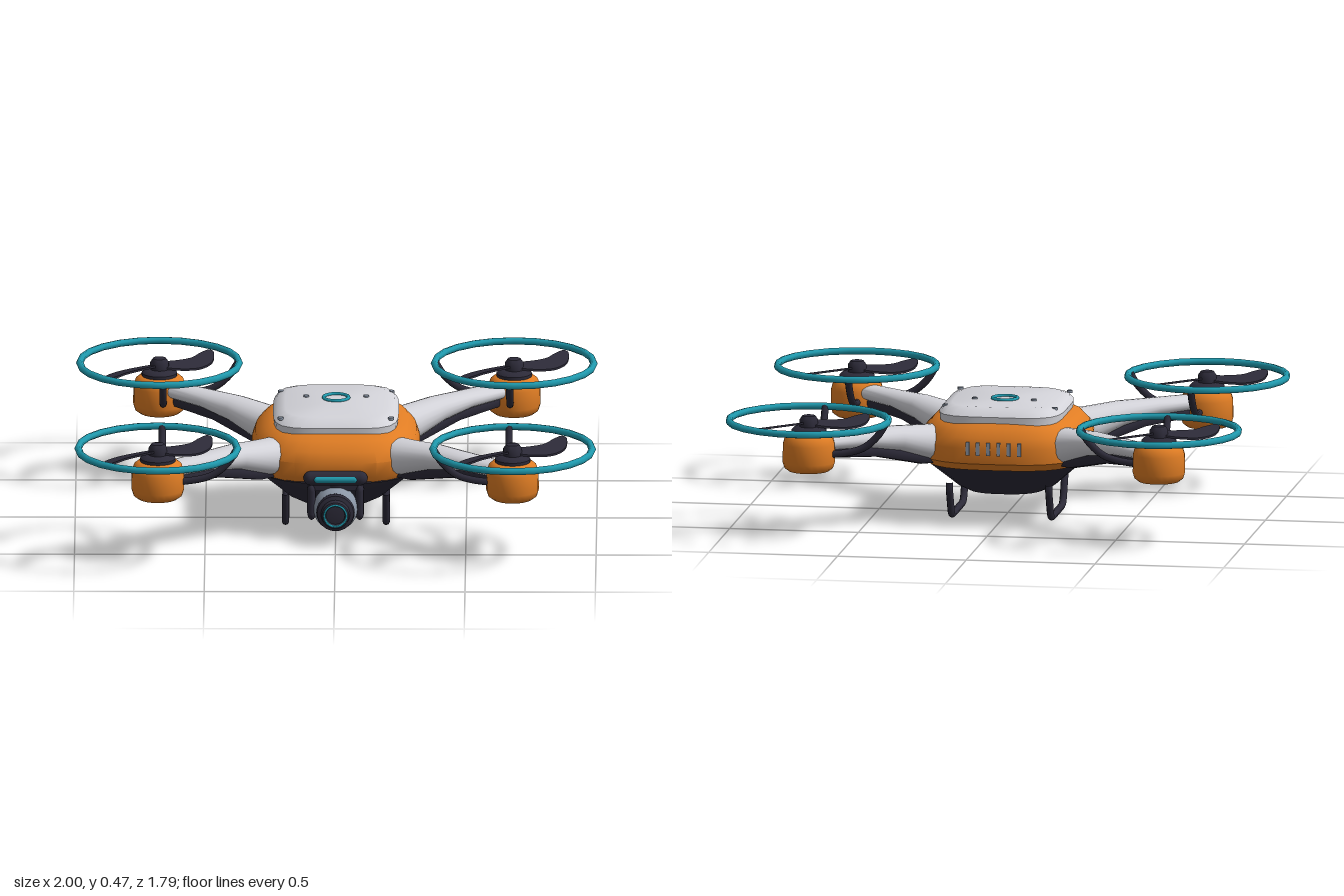
import * as THREE from 'three';
import { toCreasedNormals } from 'three/addons/utils/BufferGeometryUtils.js';

const material = (name, color) => {
  const m = new THREE.MeshStandardMaterial({ color });
  m.name = name;
  return m;
};

export function createModel() {
  const orange = material('orange shell', 0xe07d24);
  const pale = material('pale grey', 0xd3d3d9);
  const dark = material('dark plastic', 0x2c2a38);
  const teal = material('teal', 0x1f9aae);
  const steel = material('steel', 0x8b96a6);
  const model = new THREE.Group();
  model.name = 'quadcopter';

  const add = (parent, name, geo, mat, x = 0, y = 0, z = 0) => {
    const mesh = new THREE.Mesh(geo, mat);
    mesh.name = name;
    mesh.position.set(x, y, z);
    parent.add(mesh);
    return mesh;
  };

  // Skin over superellipse rings stacked along y: [y, halfX, halfZ, centreX, centreZ, exponent]
  const loft = (rings, sides = 32, crease = 0.6) => {
    const pos = [], index = [];
    for (const [y, hx, hz, cx, cz, n] of rings) {
      for (let j = 0; j < sides; j++) {
        const t = (j / sides) * Math.PI * 2, c = Math.cos(t), s = Math.sin(t);
        const r = Math.pow(Math.abs(c) ** n + Math.abs(s) ** n, -1 / n);
        pos.push(cx + hx * c * r, y, cz + hz * s * r);
      }
    }
    for (let i = 0; i < rings.length - 1; i++) {
      for (let j = 0; j < sides; j++) {
        const a = i * sides + j, b = i * sides + (j + 1) % sides;
        index.push(a, a + sides, b, b, a + sides, b + sides);
      }
    }
    const last = rings.length - 1, c0 = pos.length / 3;
    for (const k of [0, last]) pos.push(rings[k][3], rings[k][0], rings[k][4]);
    for (let j = 0; j < sides; j++) {
      const k = (j + 1) % sides;
      index.push(c0, j, k, c0 + 1, last * sides + k, last * sides + j);
    }
    const geo = new THREE.BufferGeometry();
    geo.setAttribute('position', new THREE.Float32BufferAttribute(pos, 3));
    geo.setIndex(index);
    return toCreasedNormals(geo, crease);
  };

  const lathe = (points, sides = 24) => toCreasedNormals(
    new THREE.LatheGeometry(points.map(p => new THREE.Vector2(...p)), sides), 0.7);

  const tube = (points, radius, tension = 0.5) => new THREE.TubeGeometry(
    new THREE.CatmullRomCurve3(points.map(p => new THREE.Vector3(...p)), false, 'catmullrom', tension),
    32, radius, 8);

  // Body: orange shell, dark belly, pale top cover
  add(model, 'bodyShell', loft([
    [0.22, 0.295, 0.305, 0, -0.01, 3], [0.25, 0.315, 0.333, 0, -0.015, 3],
    [0.31, 0.322, 0.342, 0, -0.015, 3], [0.35, 0.308, 0.328, 0, -0.018, 3],
    [0.385, 0.275, 0.3, 0, -0.022, 3.2], [0.405, 0.235, 0.265, 0, -0.03, 3.5],
  ], 40), orange);
  add(model, 'belly', loft([
    [0.1, 0.15, 0.17, 0, 0.01, 2.6], [0.12, 0.19, 0.2, 0, 0.008, 2.6],
    [0.2, 0.28, 0.285, 0, 0, 2.8], [0.225, 0.308, 0.31, 0, -0.005, 2.8],
    [0.238, 0.306, 0.31, 0, -0.008, 2.8],
  ], 32), dark);
  add(model, 'topCover', loft([
    [0.395, 0.238, 0.268, 0, -0.032, 4.5], [0.425, 0.241, 0.27, 0, -0.032, 4.5],
    [0.445, 0.225, 0.252, 0, -0.032, 4.5], [0.456, 0.195, 0.222, 0, -0.032, 4.5],
  ], 40), pale);

  // Power ring and screws on the cover
  const power = add(model, 'powerRing', new THREE.TorusGeometry(0.048, 0.007, 8, 28), teal, 0, 0.459, -0.07);
  power.rotation.x = Math.PI / 2;
  for (const [x, y, z] of [[0.115, 0.457, -0.09], [0.212, 0.446, 0.17], [0.212, 0.446, -0.19]]) {
    for (const s of [-1, 1]) {
      add(model, 'screw', new THREE.CylinderGeometry(0.011, 0.011, 0.01, 12), steel, s * x, y, z);
    }
  }

  // Rear vents
  for (let i = 0; i < 6; i++) {
    const x = (i - 2.5) * 0.04;
    add(model, 'rearVent', new THREE.BoxGeometry(0.014, 0.05, 0.012), steel, x, 0.31, -0.354 + 4 * Math.abs(x) ** 3);
  }

  // Front sensor bar
  const capsule = (r, len) => new THREE.CapsuleGeometry(r, len, 6, 14).rotateZ(Math.PI / 2);
  add(model, 'sensorBezel', capsule(0.028, 0.19), dark, 0, 0.252, 0.322);
  add(model, 'sensorLight', capsule(0.013, 0.145), teal, 0, 0.252, 0.341);

  // Camera gimbal
  const gimbal = new THREE.Group();
  gimbal.name = 'cameraGimbal';
  gimbal.position.set(0, 0.125, 0.295);
  model.add(gimbal);
  add(gimbal, 'cameraBall', new THREE.SphereGeometry(0.086, 24, 16), steel);
  add(gimbal, 'lensBarrel', lathe([
    [0, 0.03], [0.068, 0.03], [0.074, 0.06], [0.07, 0.078], [0.056, 0.084],
    [0.052, 0.108], [0.042, 0.112], [0.036, 0.1], [0, 0.104],
  ]).rotateX(Math.PI / 2), dark);
  add(gimbal, 'lensRing', new THREE.TorusGeometry(0.042, 0.004, 8, 28), teal, 0, 0, 0.111);
  add(gimbal, 'gimbalMount', new THREE.CylinderGeometry(0.05, 0.04, 0.07, 16), dark, 0, 0.085, -0.03);
  add(gimbal, 'gimbalYoke', new THREE.BoxGeometry(0.2, 0.03, 0.06), dark, 0, 0.085, -0.02);
  for (const s of [-1, 1]) {
    const arm = add(gimbal, 'gimbalArm', new THREE.CapsuleGeometry(0.028, 0.09, 5, 12), dark, s * 0.092, 0.025, -0.005);
    arm.scale.x = 0.6;
  }

  // Landing skids
  for (const s of [-1, 1]) {
    const path = [[0.15, 0.18], [0.115, 0.168], [0.04, 0.135], [0.014, 0.105], [0.014, -0.15],
      [0.04, -0.175], [0.12, -0.212], [0.15, -0.212]];
    add(model, 'landingSkid', tube(path.map(([y, z]) => [s * 0.193, y, z]), 0.014, 0.15), dark);
  }

  // Arm and its dark underside spar, lofted outwards along +x (ring centreX is minus the height)
  const armGeo = loft([
    [0.2, 0.07, 0.088, -0.305, 0, 2.2], [0.36, 0.068, 0.08, -0.31, 0, 2.2],
    [0.5, 0.048, 0.066, -0.338, 0, 2.2], [0.65, 0.033, 0.055, -0.35, 0, 2.2],
    [0.85, 0.028, 0.05, -0.352, 0, 2.2],
  ], 20).rotateZ(-Math.PI / 2);
  const sparGeo = loft([
    [0.22, 0.03, 0.045, -0.255, 0, 4], [0.4, 0.028, 0.038, -0.258, 0, 4],
    [0.6, 0.025, 0.032, -0.302, 0, 4], [0.85, 0.022, 0.03, -0.318, 0, 4],
  ], 16).rotateZ(-Math.PI / 2);

  // Curved propeller blade with a slight pitch
  const outline = new THREE.Shape();
  outline.moveTo(0.01, 0.03);
  outline.splineThru([[0.06, 0.055], [0.12, 0.1], [0.155, 0.155], [0.188, 0.195], [0.208, 0.175],
    [0.2, 0.09], [0.15, 0.02], [0.07, -0.015], [0.01, -0.02]].map(p => new THREE.Vector2(...p)));
  const bladeGeo = new THREE.ExtrudeGeometry(outline, { depth: 0.008, bevelEnabled: false, curveSegments: 24 })
    .rotateX(-Math.PI / 2);
  const bp = bladeGeo.attributes.position;
  for (let i = 0; i < bp.count; i++) bp.setY(i, bp.getY(i) - 0.16 * (bp.getX(i) + bp.getZ(i)) + 0.008);
  bladeGeo.computeVertexNormals();

  const podGeo = lathe([[0, 0.25], [0.078, 0.25], [0.094, 0.262], [0.101, 0.285], [0.1, 0.355],
    [0.092, 0.382], [0.075, 0.396], [0, 0.398]]);
  const hubGeo = lathe([[0, 0.39], [0.068, 0.39], [0.068, 0.408], [0.056, 0.42], [0.036, 0.422],
    [0.036, 0.448], [0.025, 0.464], [0, 0.47]], 20);

  // Four arms with motor, propeller, guard ring and guard struts
  const RX = 0.68, RZ = 0.577;
  for (const sx of [-1, 1]) {
    for (const sz of [-1, 1]) {
      const side = (sz > 0 ? 'front' : 'back') + (sx > 0 ? 'Left' : 'Right');
      for (const [name, geo, mat] of [['Arm', armGeo, pale], ['ArmSpar', sparGeo, dark]]) {
        add(model, side + name, geo, mat).rotation.y = -Math.atan2(sz * RZ, sx * RX);
      }
      const rotor = new THREE.Group();
      rotor.name = side + 'Rotor';
      rotor.position.set(sx * RX, 0, sz * RZ);
      model.add(rotor);
      add(rotor, 'motorPod', podGeo, orange);
      add(rotor, 'motorHub', hubGeo, dark);
      for (const turn of [0, Math.PI]) add(rotor, 'propellerBlade', bladeGeo, dark, 0, 0.424, 0).rotation.y = turn;
      const guard = add(rotor, 'guardRing', new THREE.TorusGeometry(0.306, 0.014, 7, 24), teal, 0, 0.445, 0);
      guard.rotation.x = Math.PI / 2;
      const bend = [[0.07, 0.315], [0.16, 0.328], [0.22, 0.35], [0.27, 0.395], [0.302, 0.445]];
      add(rotor, 'guardStrut', tube(bend.map(([d, y]) => [-sx * d, y, 0.015 * sz]), 0.014), dark);
      add(rotor, 'guardStrut', tube(bend.map(([d, y]) => [-sx * 0.015, y, -sz * d]), 0.014), dark);
    }
  }
  return model;
}
